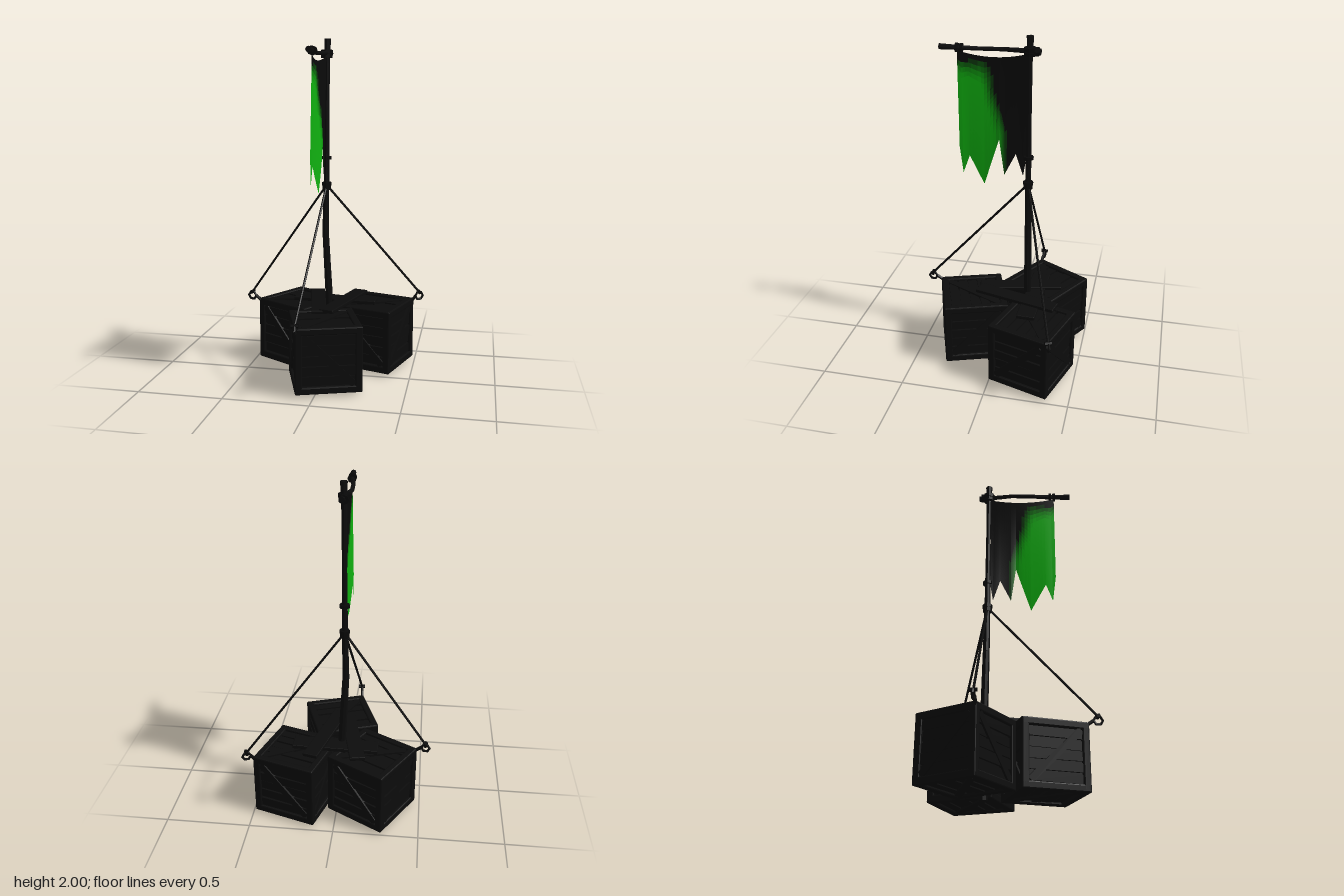
import * as THREE from 'three';
import { RoundedBoxGeometry } from 'three/addons/geometries/RoundedBoxGeometry.js';

const V = (x, y, z) => new THREE.Vector3(x, y, z);
const dark = (hex) => new THREE.MeshStandardMaterial({ color: hex, flatShading: true });
const WOOD = dark(0x0c0c0c), ROPE = dark(0x080808);

function add(parent, name, geometry, material, x = 0, y = 0, z = 0) {
  const mesh = new THREE.Mesh(geometry, material);
  mesh.name = name;
  mesh.position.set(x, y, z);
  parent.add(mesh);
  return mesh;
}

// Straight round bar between two points
function bar(parent, name, a, b, r1, r2, material, sides = 6) {
  const mesh = add(parent, name, new THREE.CylinderGeometry(r2, r1, a.distanceTo(b), sides), material);
  mesh.position.copy(a).lerp(b, 0.5);
  mesh.quaternion.setFromUnitVectors(V(0, 1, 0), b.clone().sub(a).normalize());
  return mesh;
}

// Chain of bars through a list of [point, radius]
function bentBar(parent, name, stops) {
  const group = new THREE.Group();
  group.name = name;
  for (let i = 0; i + 1 < stops.length; i++)
    bar(group, name + 'Section', stops[i][0], stops[i + 1][0], stops[i][1], stops[i + 1][1], WOOD, 8);
  parent.add(group);
}

// Wooden crate: corner beams, recessed slats and a diagonal brace per face
const S = 0.385, BEAM = 0.042;
function crate(name, x, z, turn) {
  const group = new THREE.Group();
  group.name = name;
  group.position.set(x, 0.015 + S / 2, z);
  group.rotation.y = turn;
  const edge = S / 2 - BEAM / 2, inner = S - 2 * BEAM;
  add(group, 'crateCore', new THREE.BoxGeometry(S - 0.05, S - 0.05, S - 0.05), WOOD);
  for (let axis = 0; axis < 3; axis++)
    for (const u of [-1, 1])
      for (const v of [-1, 1]) {
        const size = [BEAM, BEAM, BEAM], pos = [u * edge, u * edge, u * edge];
        size[axis] = S;
        pos[axis] = 0;
        pos[(axis + 1) % 3] = u * edge;
        pos[(axis + 2) % 3] = v * edge;
        add(group, 'cornerBeam', new RoundedBoxGeometry(...size, 1, 0.007), WOOD, ...pos);
      }
  const faces = [[0, 0], [0, 1], [0, 2], [0, 3], [1, 0], [-1, 0]];
  faces.forEach(([rx, ry], f) => {
    const face = new THREE.Group();
    face.name = 'crateFace';
    face.rotation.set(rx * Math.PI / 2, ry * Math.PI / 2, 0);
    const count = 5, h = inner / count;
    for (let i = 0; i < count; i++) {
      const slat = add(face, 'slat', new THREE.BoxGeometry(inner, h - 0.008, 0.02), WOOD,
        0, (i + 0.5) * h - inner / 2, S / 2 - 0.026 + 0.003 * ((i * 2 + f) % 3));
      slat.rotation.z = 0.012 * (((i + f) % 3) - 1);
    }
    const brace = add(face, 'brace', new THREE.BoxGeometry(inner * 1.36, 0.04, 0.02), WOOD, 0, 0, S / 2 - 0.014);
    brace.rotation.z = (f % 2 ? 1 : -1) * Math.PI / 4;
    group.add(face);
  });
  return group;
}

// Flat board lying between two points on the crates
function board(parent, x1, z1, x2, z2, y, width) {
  const mesh = add(parent, 'topBoard',
    new RoundedBoxGeometry(Math.hypot(x2 - x1, z2 - z1), 0.022, width, 1, 0.004), WOOD,
    (x1 + x2) / 2, y, (z1 + z2) / 2);
  mesh.rotation.y = -Math.atan2(z2 - z1, x2 - x1);
}

// Torn banner, dyed from black by the pole to green at the free edge
function banner() {
  const group = new THREE.Group();
  group.name = 'banner';
  const hem = [[0.26, 1.33], [0.24, 1.17], [0.2, 1.28], [0.11, 1.115], [0.02, 1.4],
    [-0.01, 1.185], [-0.075, 1.315], [-0.117, 1.18], [-0.135, 1.29]];
  const columns = [];
  for (let i = 0; i + 1 < hem.length; i++)
    for (let k = 0; k < 5; k++)
      columns.push([0, 1].map((c) => THREE.MathUtils.lerp(hem[i][c], hem[i + 1][c], k / 5)));
  columns.push(hem[hem.length - 1]);
  const ROWS = 24, SHADES = 14;
  const point = ([z, low], r) => {
    const t = (z - 0.0625) / 0.1975;
    const y = THREE.MathUtils.lerp(1.868 + 0.03 * t * t, low, r / ROWS);
    return V(-0.032 + 0.012 * Math.sin(z * 16 + 1) * (r / ROWS) - 0.012 * Math.max(0, 1 - t * t) * (1 - r / ROWS), y, z);
  };
  const buckets = Array.from({ length: SHADES }, () => []);
  for (let i = 0; i + 1 < columns.length; i++)
    for (let r = 0; r < ROWS; r++) {
      const a = point(columns[i], r), b = point(columns[i + 1], r);
      const c = point(columns[i], r + 1), d = point(columns[i + 1], r + 1);
      const m = a.clone().add(d).multiplyScalar(0.5);
      const start = -0.03 + 0.08 * THREE.MathUtils.smoothstep(m.y, 1.4, 1.75);
      const green = THREE.MathUtils.smoothstep(m.z, start, start + 0.09)
        * (1 - THREE.MathUtils.smoothstep(m.y, 1.7 + 0.3 * Math.max(0, m.z - 0.1), 1.86));
      const shade = Math.round(green * (SHADES - 1));
      for (const p of [a, c, b, b, c, d]) buckets[shade].push(p);
    }
  const black = new THREE.Color(0x0a0a0a), lime = new THREE.Color(0x10b010);
  buckets.forEach((points, i) => {
    if (!points.length) return;
    const geometry = new THREE.BufferGeometry().setFromPoints(points);
    geometry.computeVertexNormals();
    add(group, 'bannerCloth', geometry, new THREE.MeshStandardMaterial({
      color: black.clone().lerp(lime, i / (SHADES - 1)), side: THREE.DoubleSide }));
  });
  return group;
}

export function createModel() {
  const model = new THREE.Group();
  model.name = 'crateBanner';

  // Three crates round the pole
  model.add(crate('rightCrate', -0.21, -0.24, -0.524));
  model.add(crate('leftCrate', 0.247, -0.24, -0.3));
  model.add(crate('frontCrate', 0.02, 0.174, 0.335));

  // Boards bridging the crates
  board(model, -0.24, -0.21, 0.27, -0.2, 0.412, 0.11);
  board(model, -0.13, -0.35, -0.02, 0.14, 0.42, 0.09);
  board(model, 0.15, -0.36, 0.02, 0.14, 0.428, 0.09);

  // Pole with its lashings
  bentBar(model, 'pole', [[V(0, 0, -0.16), 0.024], [V(-0.018, 0.42, -0.16), 0.023], [V(-0.04, 0.85, -0.152), 0.02],
    [V(-0.034, 1.15, -0.15), 0.017], [V(-0.03, 1.6, -0.15), 0.014], [V(-0.028, 1.86, -0.15), 0.015], [V(-0.027, 2, -0.15), 0.02]]);
  for (const [y, r, h] of [[1.3, 0.03, 0.018], [1.12, 0.027, 0.025], [1.142, 0.03, 0.02], [1.9, 0.034, 0.02], [1.925, 0.036, 0.022]])
    add(model, 'poleLashing', new THREE.CylinderGeometry(r, r, h, 8), ROPE, -0.032, y, -0.15);

  // Crooked crossbar and its lashings
  bentBar(model, 'crossbar', [[V(-0.022, 1.916, -0.21), 0.018], [V(-0.028, 1.917, -0.15), 0.014],
    [V(-0.055, 1.912, 0), 0.012], [V(-0.05, 1.91, 0.13), 0.012], [V(-0.032, 1.914, 0.25), 0.014], [V(-0.028, 1.916, 0.36), 0.017]]);
  for (const z of [-0.19, 0.235, 0.26]) {
    const lashing = add(model, 'crossbarLashing', new THREE.CylinderGeometry(0.026, 0.026, 0.016, 8), ROPE, -0.032, 1.914, z);
    lashing.rotation.x = Math.PI / 2;
  }

  model.add(banner());

  // Guy ropes tied to iron rings on the outer crate corners
  const knot = V(-0.033, 1.135, -0.15);
  for (const [x, z, cx, cz] of [[-0.52, -0.18, -0.46, -0.172], [0.52, -0.378, 0.48, -0.36], [-0.086, 0.468, -0.092, 0.405]]) {
    const ring = V(x, 0.412, z), out = V(x - cx, 0, z - cz).normalize();
    const side = V(-out.z, 0, out.x);
    const torus = add(model, 'ring', new THREE.TorusGeometry(0.025, 0.008, 5, 6), WOOD, ring.x, ring.y, ring.z);
    torus.rotation.y = -Math.atan2(out.z, out.x);
    bar(model, 'ringPin', V(cx, 0.385, cz), ring.clone().addScaledVector(out, -0.025), 0.01, 0.01, WOOD);
    const tie = ring.clone().add(V(0, 0.024, 0));
    bar(model, 'guyRope', tie, knot, 0.007, 0.007, ROPE);
    bar(model, 'ropeKnot', tie.clone().addScaledVector(side, -0.02), tie.clone().addScaledVector(side, 0.02), 0.012, 0.012, ROPE);
  }
  return model;
}
